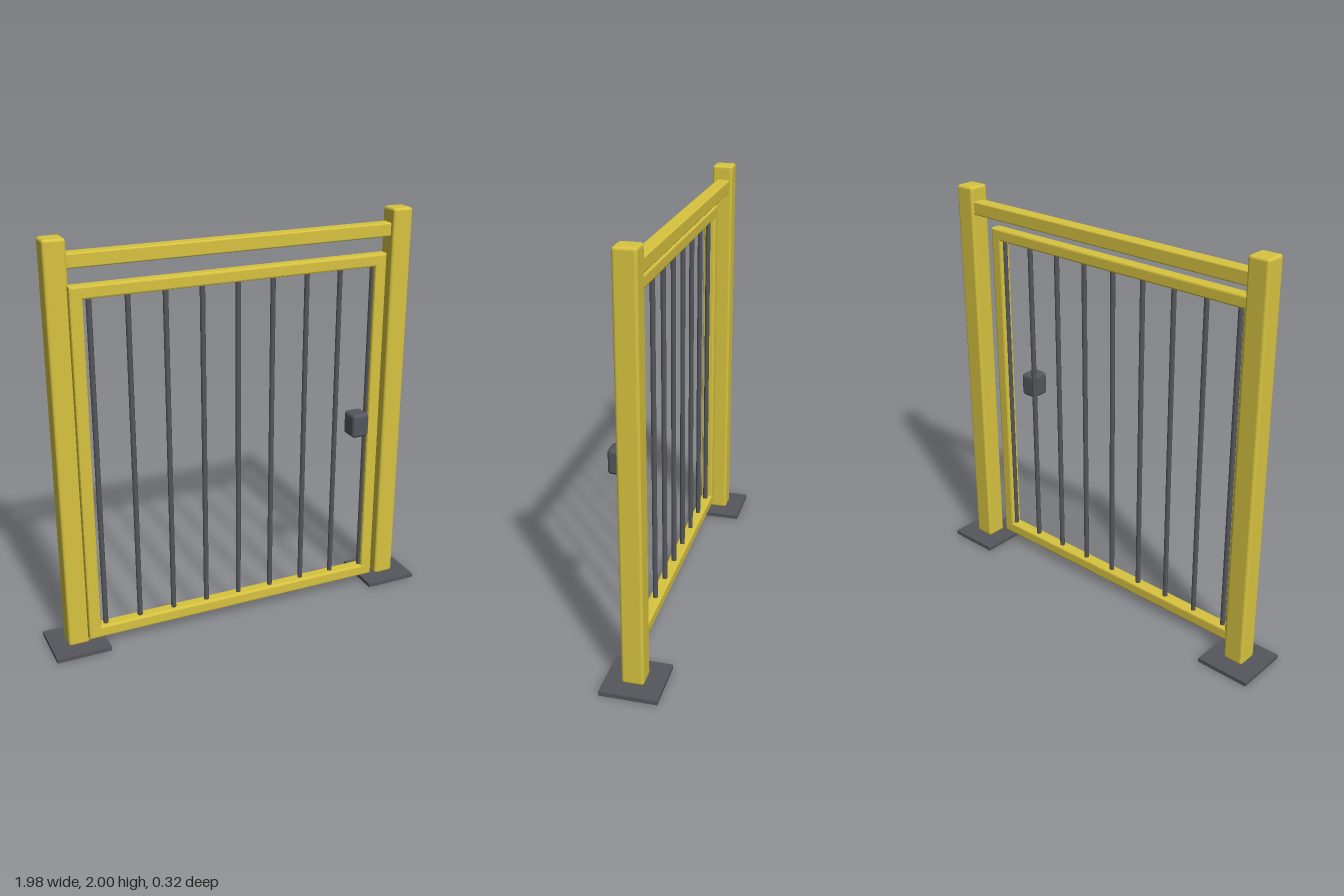
import * as THREE from 'three';
import { RoundedBoxGeometry } from 'three/addons/geometries/RoundedBoxGeometry.js';

const yellow = new THREE.MeshStandardMaterial({ color: 0xd8c440 });
const dark = new THREE.MeshStandardMaterial({ color: 0x55575c });

function add(parent, name, geometry, material, x, y, z) {
  const mesh = new THREE.Mesh(geometry, material);
  mesh.name = name;
  mesh.position.set(x, y, z);
  parent.add(mesh);
  return mesh;
}

// Closed rectangle path, used for the outline and the opening of the gate frame
function rectangle(PathType, x0, x1, y0, y1) {
  return new PathType([
    new THREE.Vector2(x0, y0), new THREE.Vector2(x1, y0),
    new THREE.Vector2(x1, y1), new THREE.Vector2(x0, y1),
  ]);
}

export function createModel() {
  const model = new THREE.Group();
  model.name = 'gate';

  // Two posts, each on a square base plate
  for (const [side, sign] of [['left', 1], ['right', -1]]) {
    const x = 0.855 * sign;
    add(model, side + 'Post', new RoundedBoxGeometry(0.104, 1.98, 0.104, 2, 0.014), yellow, x, 1.01, -0.021);
    add(model, side + 'BasePlate', new THREE.BoxGeometry(0.27, 0.02, 0.27), dark, x, 0.01, -0.023);
  }

  // Fixed rail between the posts
  add(model, 'topRail', new RoundedBoxGeometry(1.63, 0.067, 0.067, 2, 0.008), yellow, 0, 1.896, -0.026);

  // Swinging leaf: mitred frame with softened edges
  const leaf = new THREE.Group();
  leaf.name = 'gateLeaf';
  model.add(leaf);
  const [x0, x1, y0, y1] = [-0.812, 0.754, 0.053, 1.797];
  const width = 0.06, depth = 0.062, bevel = 0.009;
  const outline = rectangle(THREE.Shape, x0, x1, y0, y1);
  outline.holes.push(rectangle(THREE.Path, x0 + width, x1 - width, y0 + width, y1 - width));
  const frame = new THREE.ExtrudeGeometry(outline, {
    depth: depth - 2 * bevel, bevelEnabled: true, bevelThickness: bevel,
    bevelSize: bevel, bevelOffset: -bevel, bevelSegments: 2,
  });
  add(leaf, 'gateFrame', frame, yellow, 0, 0, bevel);

  // Evenly spaced upright bars
  const barGeometry = new THREE.CylinderGeometry(0.0125, 0.0125, 1.66, 10);
  for (let i = 0; i < 9; i++) {
    add(leaf, 'bar', barGeometry, dark, -0.72 + i * 0.1768, (y0 + y1) / 2, depth / 2);
  }

  // Latch block in front of the bars
  add(leaf, 'latch', new RoundedBoxGeometry(0.09, 0.122, 0.1, 3, 0.018), dark, 0.596, 0.967, 0.109);

  return model;
}
